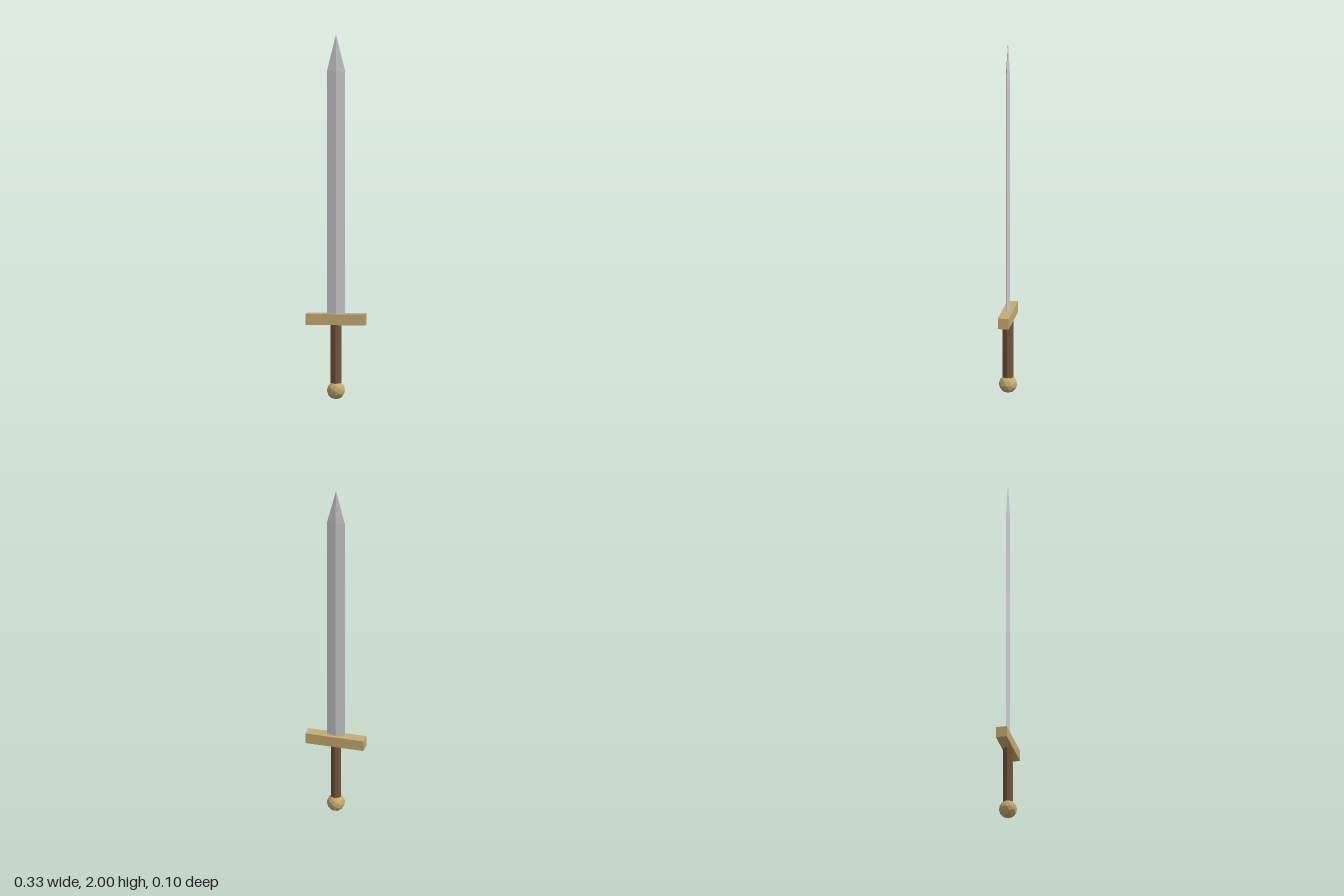
import * as THREE from 'three';

export function createModel() {
  const model = new THREE.Group();
  model.name = 'sword';

  const material = (color) => new THREE.MeshStandardMaterial({ color, flatShading: true });
  const steel = material(0xc8c9cd);
  const brass = material(0xc6aa70);
  const leather = material(0x75543c);

  const add = (name, geometry, mat, y) => {
    const mesh = new THREE.Mesh(geometry, mat);
    mesh.name = name;
    mesh.position.y = y;
    model.add(mesh);
  };

  // Faceted ball at the end of the grip
  add('pommel', new THREE.IcosahedronGeometry(0.05, 1), brass, 0.053);

  // Eight-sided grip
  add('grip', new THREE.CylinderGeometry(0.029, 0.029, 0.34, 8), leather, 0.245);

  // Crossguard bar
  add('crossguard', new THREE.BoxGeometry(0.326, 0.06, 0.06), brass, 0.443);

  // Diamond-section blade: four-sided column flattened in depth, closed by a pointed tip
  const flatness = 0.012 / 0.05;
  const blade = new THREE.CylinderGeometry(0.05, 0.05, 1.35, 4, 1, true);
  blade.scale(1, 1, flatness);
  add('blade', blade, steel, 1.125);

  const tip = new THREE.ConeGeometry(0.05, 0.2, 4, 1, true);
  tip.scale(1, 1, flatness);
  add('bladeTip', tip, steel, 1.9);

  return model;
}
